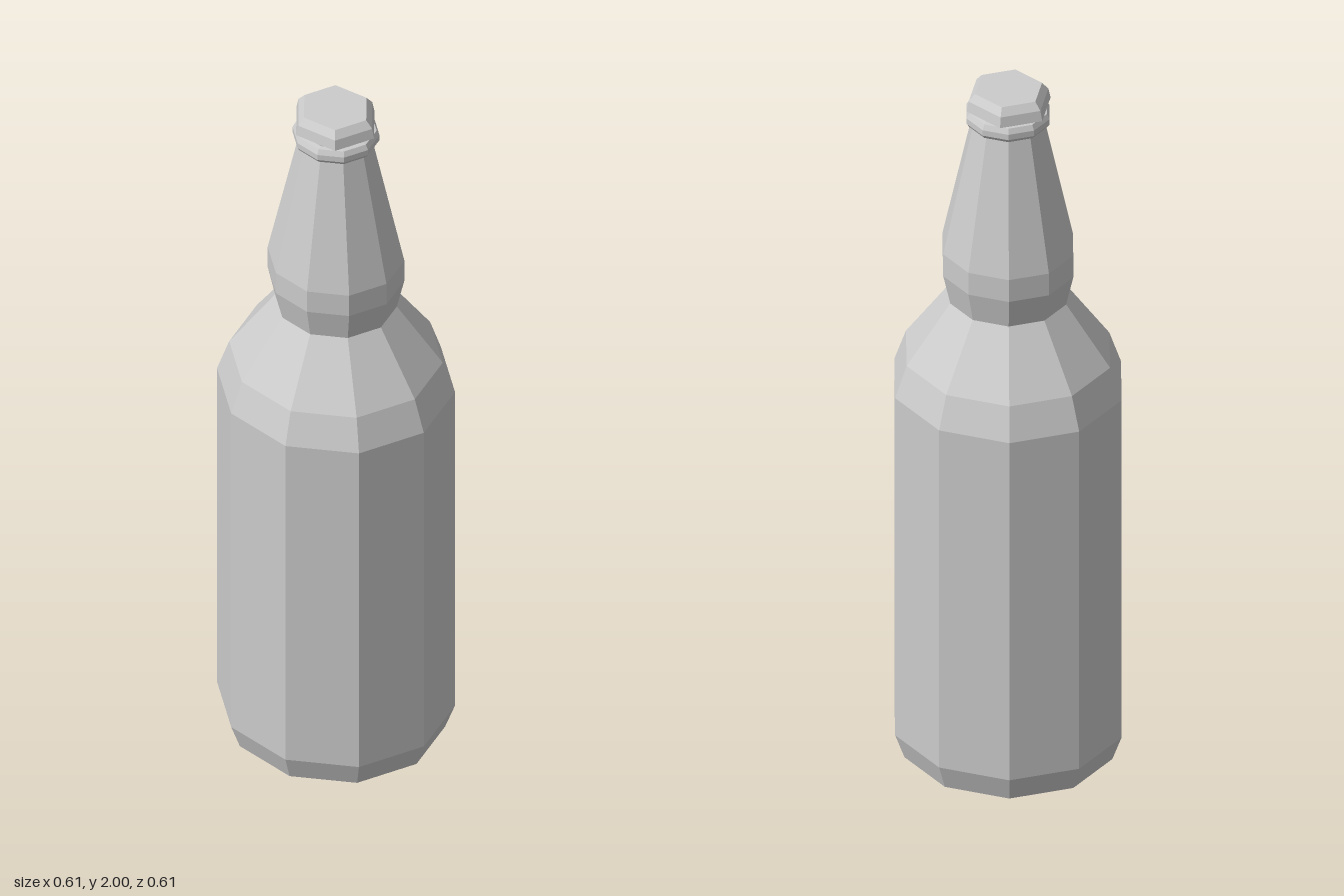
import * as THREE from 'three';

const material = new THREE.MeshStandardMaterial({ color: 0xcccccc, flatShading: true });

// Faceted turned part with corners on the x axis, slightly deeper than wide
function turned(name, profile, sides, depth) {
  const points = profile.map(([r, y]) => new THREE.Vector2(r, y));
  const geometry = new THREE.LatheGeometry(points, sides, Math.PI / 2);
  geometry.scale(1, 1, depth);
  const mesh = new THREE.Mesh(geometry, material);
  mesh.name = name;
  return mesh;
}

export function createModel() {
  const bottle = new THREE.Group();
  bottle.name = 'bottle';

  // Base, body, shoulder and bulged neck
  bottle.add(turned('bottleBody', [
    [0, 0], [0.215, 0.017], [0.278, 0.055], [0.303, 0.125],
    [0.303, 1.13], [0.272, 1.22], [0.155, 1.385], [0.174, 1.47],
    [0.174, 1.535], [0.095, 1.9], [0.092, 1.96], [0, 1.96],
  ], 10, 1.05));

  // Rounded ring under the cap
  bottle.add(turned('lipRing', [
    [0.09, 1.902], [0.104, 1.902], [0.111, 1.912],
    [0.111, 1.928], [0.104, 1.942], [0.09, 1.945],
  ], 10, 1.04));

  // Six-sided cap
  const cap = turned('cap', [
    [0, 1.952], [0.113, 1.952], [0.107, 1.98], [0.09, 2], [0, 2],
  ], 6, 1.08);
  cap.position.z = -0.004;
  bottle.add(cap);

  return bottle;
}
